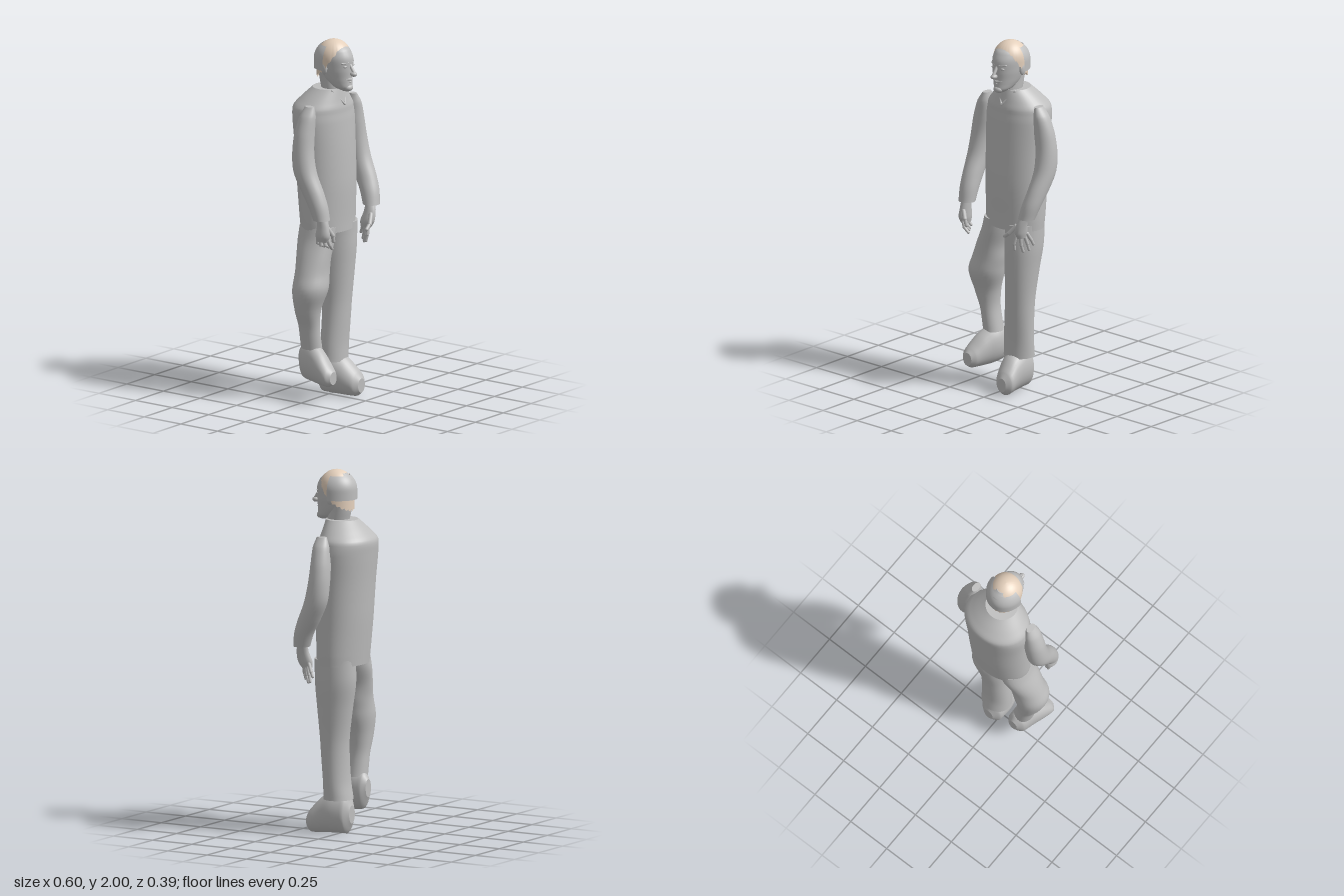
import * as THREE from 'three';

const grey = new THREE.MeshStandardMaterial({ color: 0xbebebe, side: THREE.DoubleSide });
grey.name = 'plain grey';
const beige = new THREE.MeshStandardMaterial({ color: 0xe4d0bc, side: THREE.DoubleSide });
beige.name = 'hair beige';

// Smooth closed loft through elliptical rings [x, y, z, rx, rz], listed bottom to top
function loft(rings, sides = 28, steps = 5) {
  const centre = new THREE.CatmullRomCurve3(rings.map(r => new THREE.Vector3(r[0], r[1], r[2])));
  const radius = new THREE.CatmullRomCurve3(rings.map(r => new THREE.Vector3(r[3], 0, r[4])));
  const n = (rings.length - 1) * steps;
  const pos = [], index = [];
  const addRing = i => {
    const c = centre.getPoint(i / n), r = radius.getPoint(i / n);
    const first = pos.length / 3;
    for (let j = 0; j < sides; j++) {
      const t = (j / sides) * Math.PI * 2;
      pos.push(c.x + r.x * Math.sin(t), c.y, c.z + r.z * Math.cos(t));
    }
    return first;
  };
  for (let i = 0; i <= n; i++) addRing(i);
  for (let i = 0; i < n; i++) {
    for (let j = 0; j < sides; j++) {
      const k = (j + 1) % sides;
      const a = i * sides + j, b = i * sides + k, c = b + sides, d = a + sides;
      index.push(a, b, c, a, c, d);
    }
  }
  for (const end of [0, n]) {
    const first = addRing(end), mid = pos.length / 3;
    pos.push(...centre.getPoint(end / n).toArray());
    for (let j = 0; j < sides; j++) {
      const a = first + j, b = first + (j + 1) % sides;
      if (end) index.push(mid, a, b); else index.push(mid, b, a);
    }
  }
  const g = new THREE.BufferGeometry();
  g.setAttribute('position', new THREE.Float32BufferAttribute(pos, 3));
  g.setIndex(index);
  g.computeVertexNormals();
  return g;
}

// Open dome whose sides fall straight below its equator to edge(angle)
function dome(c, r, phi0, phi1, theta0, edge) {
  const g = new THREE.PlaneGeometry(1, 1, 72, 14), p = g.attributes.position, uv = g.attributes.uv;
  for (let i = 0; i < p.count; i++) {
    const a = phi0 + (phi1 - phi0) * uv.getX(i);
    const v = 1 - uv.getY(i), bottom = edge(a);
    const theta1 = bottom < c[1] ? Math.PI / 2 : Math.acos(Math.min(1, (bottom - c[1]) / r[1]));
    const t = theta0 + (theta1 - theta0) * Math.min(1, v / 0.75);
    const drop = Math.max(0, (v - 0.75) / 0.25) * Math.max(0, c[1] - bottom);
    p.setXYZ(i, c[0] + r[0] * Math.sin(t) * Math.sin(a), c[1] + r[1] * Math.cos(t) - drop,
      c[2] + r[2] * Math.sin(t) * Math.cos(a));
  }
  g.computeVertexNormals();
  return g;
}

export function createModel() {
  const model = new THREE.Group();
  const add = (name, geometry, material = grey, parent = model) => {
    const m = new THREE.Mesh(geometry, material);
    m.name = name;
    parent.add(m);
    return m;
  };
  const ball = (name, at, size, parent) => {
    const m = add(name, new THREE.SphereGeometry(1, 20, 14), grey, parent);
    m.position.set(...at);
    m.scale.set(...size);
    return m;
  };
  const rod = (name, a, b, radius, parent) => {
    const A = new THREE.Vector3(...a), B = new THREE.Vector3(...b), d = B.clone().sub(A);
    const m = add(name, new THREE.CapsuleGeometry(radius, d.length(), 5, 10), grey, parent);
    m.position.copy(A).add(B).multiplyScalar(0.5);
    m.quaternion.setFromUnitVectors(new THREE.Vector3(0, 1, 0), d.normalize());
    return m;
  };

  // Tunic and neck
  add('tunic', loft([
    [0, 0.937, -0.005, 0.178, 0.128], [0, 1.0, -0.008, 0.182, 0.132], [0, 1.2, -0.015, 0.186, 0.146],
    [0, 1.4, -0.025, 0.19, 0.15], [0, 1.55, -0.036, 0.196, 0.152], [0, 1.62, -0.04, 0.188, 0.15],
    [0, 1.67, -0.025, 0.148, 0.125], [0, 1.73, 0, 0.09, 0.088]], 40));
  add('neck', loft([[0, 1.66, 0.03, 0.05, 0.06], [0, 1.72, 0.025, 0.058, 0.062],
    [0, 1.78, 0.015, 0.06, 0.065], [0, 1.83, 0.015, 0.065, 0.07]]));
  for (const s of [-1, 1]) rod('collarEdge', [s * 0.06, 1.725, 0.065], [0, 1.645, 0.108], 0.006);

  // Sleeves
  add('leftSleeve', loft([
    [0.207, 1.045, 0.132, 0.047, 0.046], [0.222, 1.12, 0.108, 0.052, 0.055], [0.235, 1.2, 0.068, 0.054, 0.064],
    [0.242, 1.3, 0.022, 0.058, 0.066], [0.237, 1.4, 0.005, 0.059, 0.061], [0.222, 1.5, 0.003, 0.058, 0.056],
    [0.205, 1.6, 0.01, 0.042, 0.047], [0.19, 1.655, 0.014, 0.018, 0.03]]));
  add('rightSleeve', loft([
    [-0.234, 1.045, 0.128, 0.047, 0.046], [-0.236, 1.12, 0.105, 0.052, 0.055], [-0.239, 1.2, 0.068, 0.055, 0.064],
    [-0.242, 1.3, 0.022, 0.059, 0.066], [-0.237, 1.4, 0.005, 0.059, 0.061], [-0.224, 1.5, 0.003, 0.058, 0.056],
    [-0.205, 1.6, 0.01, 0.042, 0.047], [-0.19, 1.655, 0.014, 0.018, 0.03]]));

  // Hands: palm, four fingers, thumb
  const hand = (name, palm, fingers) => {
    const g = new THREE.Group();
    g.name = name;
    model.add(g);
    add('palm', loft(palm, 18), grey, g);
    fingers.forEach(([a, b, c], i) => {
      const r = i === 4 ? 0.012 : 0.0095;
      rod('fingerBase', a, b, r, g);
      rod('fingerTip', b, c, r * 0.85, g);
    });
  };
  hand('leftHand', [[0.167, 0.925, 0.125, 0.018, 0.034], [0.168, 0.96, 0.135, 0.026, 0.044],
    [0.18, 1.01, 0.142, 0.025, 0.036], [0.195, 1.06, 0.136, 0.024, 0.028]], [
    [[0.15, 0.94, 0.155], [0.138, 0.89, 0.158], [0.135, 0.855, 0.15]],
    [[0.163, 0.935, 0.135], [0.163, 0.88, 0.128], [0.165, 0.842, 0.115]],
    [[0.175, 0.935, 0.115], [0.183, 0.885, 0.1], [0.187, 0.85, 0.09]],
    [[0.182, 0.945, 0.1], [0.194, 0.905, 0.08], [0.198, 0.88, 0.068]],
    [[0.16, 1.0, 0.165], [0.125, 0.955, 0.183], [0.095, 0.932, 0.185]]]);
  hand('rightHand', [[-0.235, 0.925, 0.135, 0.022, 0.034], [-0.237, 0.96, 0.138, 0.03, 0.044],
    [-0.234, 1.01, 0.138, 0.028, 0.036], [-0.232, 1.06, 0.132, 0.027, 0.028]], [
    [[-0.23, 0.94, 0.165], [-0.215, 0.905, 0.17], [-0.19, 0.88, 0.165]],
    [[-0.237, 0.935, 0.145], [-0.23, 0.905, 0.15], [-0.2, 0.89, 0.15]],
    [[-0.24, 0.935, 0.125], [-0.237, 0.905, 0.125], [-0.212, 0.895, 0.13]],
    [[-0.242, 0.945, 0.108], [-0.24, 0.915, 0.105], [-0.22, 0.905, 0.11]],
    [[-0.225, 1.0, 0.165], [-0.203, 0.96, 0.18], [-0.193, 0.925, 0.178]]]);

  // Trouser legs: straight left, raised right
  add('leftLeg', loft([
    [0.035, 0.19, 0.002, 0.088, 0.08], [0.04, 0.3, 0.01, 0.088, 0.072], [0.052, 0.5, 0.015, 0.084, 0.078],
    [0.062, 0.7, 0.008, 0.093, 0.1], [0.07, 0.85, 0, 0.1, 0.117], [0.075, 0.97, 0, 0.098, 0.118]]));
  add('rightLeg', loft([
    [-0.155, 0.29, 0, 0.054, 0.06], [-0.175, 0.4, 0, 0.052, 0.06], [-0.194, 0.52, 0.004, 0.074, 0.074],
    [-0.188, 0.64, 0.018, 0.102, 0.098], [-0.167, 0.72, 0.014, 0.097, 0.094], [-0.147, 0.8, 0.008, 0.087, 0.1],
    [-0.112, 0.9, 0, 0.082, 0.11], [-0.095, 0.97, 0, 0.08, 0.11]]));

  // Shoes: rings run from heel to toe as [x, z, -y, rx, ry]
  add('leftShoe', loft([
    [0.03, -0.08, -0.11, 0.03, 0.05], [0.03, -0.05, -0.115, 0.066, 0.112], [0.035, 0.02, -0.12, 0.078, 0.118],
    [0.045, 0.09, -0.1, 0.072, 0.1], [0.06, 0.15, -0.068, 0.06, 0.068],
    [0.062, 0.175, -0.06, 0.03, 0.04]]).rotateX(Math.PI / 2));
  add('rightShoe', loft([
    [-0.14, -0.08, -0.23, 0.028, 0.05], [-0.145, -0.05, -0.215, 0.055, 0.1], [-0.155, 0.02, -0.212, 0.065, 0.108],
    [-0.175, 0.09, -0.188, 0.063, 0.088], [-0.19, 0.15, -0.158, 0.053, 0.057],
    [-0.19, 0.175, -0.152, 0.03, 0.036]]).rotateX(Math.PI / 2));

  // Head and face
  const head = new THREE.Group();
  head.name = 'head';
  model.add(head);
  add('skull', loft([
    [0, 1.722, 0.115, 0.015, 0.025], [0, 1.745, 0.09, 0.046, 0.06], [0, 1.785, 0.06, 0.064, 0.088],
    [0, 1.84, 0.046, 0.077, 0.104], [0, 1.9, 0.04, 0.082, 0.11], [0, 1.95, 0.034, 0.072, 0.094],
    [0, 1.982, 0.03, 0.04, 0.055]], 32), grey, head);
  rod('noseBridge', [0, 1.87, 0.145], [0, 1.83, 0.172], 0.009, head);
  ball('noseTip', [0, 1.822, 0.168], [0.017, 0.014, 0.021], head);
  ball('chin', [0, 1.742, 0.135], [0.028, 0.02, 0.022], head);
  for (const s of [-1, 1]) {
    ball('eye', [s * 0.031, 1.864, 0.136], [0.014, 0.007, 0.009], head);
    rod('brow', [s * 0.017, 1.883, 0.144], [s * 0.05, 1.884, 0.126], 0.006, head);
    rod('upperLip', [0, 1.789, 0.149], [s * 0.026, 1.793, 0.135], 0.006, head);
    rod('lowerLip', [0, 1.774, 0.144], [s * 0.018, 1.78, 0.135], 0.007, head);
    ball('ear', [s * 0.083, 1.85, 0.03], [0.012, 0.034, 0.02], head);
  }

  // Hair with a high ragged hairline, long at the nape
  const hairline = a => {
    const c = Math.cos(a), ragged = 0.006 * Math.sin(a * 23);
    return (c > 0 ? 1.84 + 0.11 * Math.min(1, c * 1.3) : 1.84 + 0.06 * c) + ragged;
  };
  add('hair', dome([0, 1.9, 0.035], [0.092, 0.1, 0.097], -Math.PI, Math.PI, 0, hairline), beige, head);
  // Grey band around the back of the head, open at the crown
  add('headBand', dome([0, 1.89, 0.036], [0.104, 0.107, 0.115], Math.PI / 2, Math.PI * 1.5, 0.72,
    () => 1.84), grey, head);

  return model;
}
